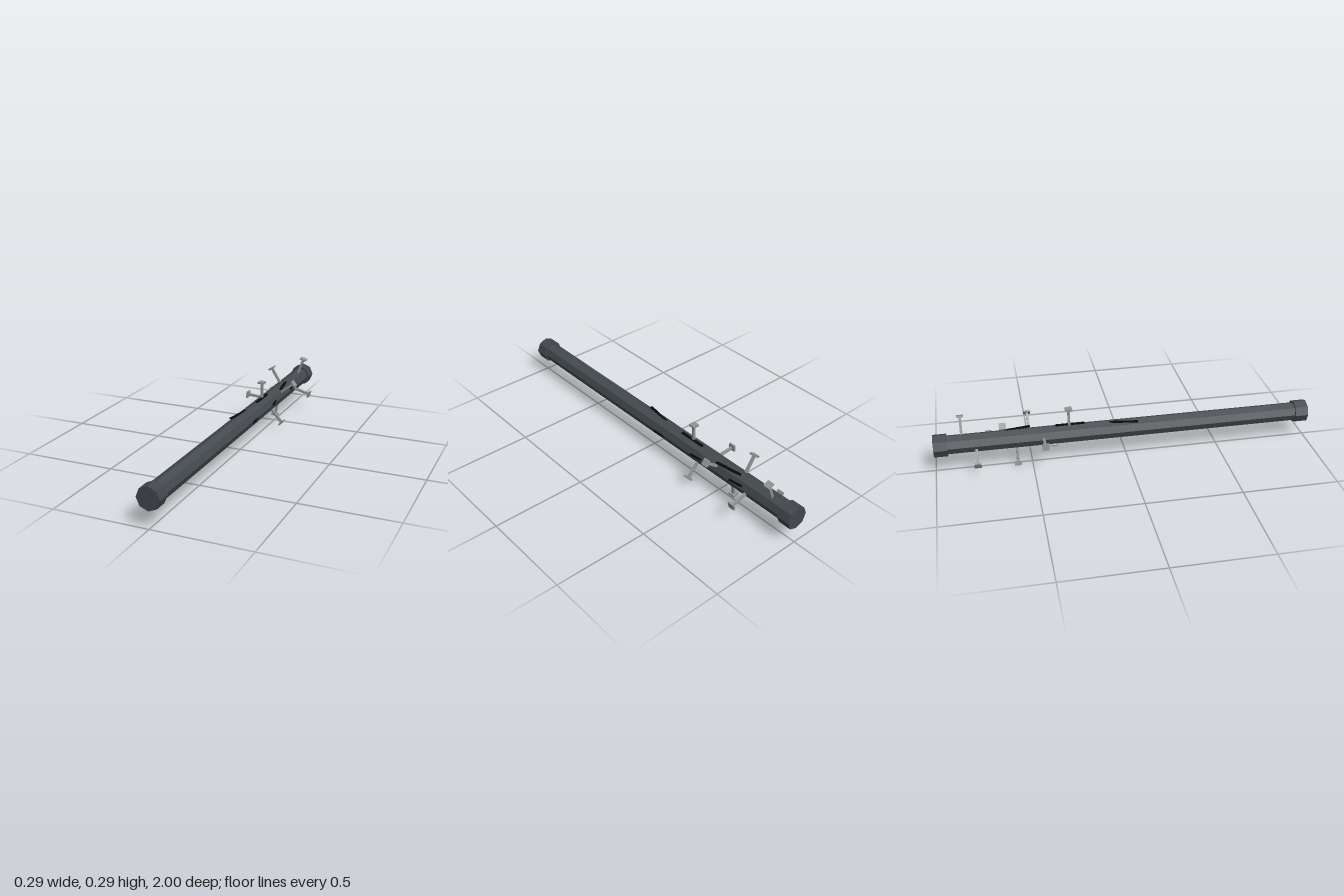
import * as THREE from 'three';

const AXIS_Y = 0.15; // height of the pipe's centre line

export function createModel() {
  const group = new THREE.Group();
  const mat = (name, color) => {
    const m = new THREE.MeshStandardMaterial({ color, flatShading: true });
    m.name = name;
    return m;
  };
  const pipeMat = mat('dark steel', 0x444a4f);
  const capMat = mat('cap steel', 0x44464d);
  const nailMat = mat('nail grey', 0x949494);
  const scratchMat = mat('scratch black', 0x0a0a0a);

  const add = (parent, name, geometry, material, x, y, z) => {
    const mesh = new THREE.Mesh(geometry, material);
    mesh.name = name;
    mesh.position.set(x, y, z);
    parent.add(mesh);
    return mesh;
  };

  // Octagonal pipe with a thicker collar at each end
  const octagon = (r, length) => new THREE.CylinderGeometry(r, r, length, 8).rotateX(Math.PI / 2);
  add(group, 'pipe', octagon(0.05, 1.96), pipeMat, 0, AXIS_Y, 0);
  for (const s of [1, -1]) {
    add(group, s > 0 ? 'frontCap' : 'backCap', octagon(0.06, 0.07), capMat, 0, AXIS_Y, s * 0.965);
  }

  // Nine nails in a golden-angle spiral towards the back end
  const shank = new THREE.BoxGeometry(0.013, 0.1, 0.013);
  const head = new THREE.BoxGeometry(0.036, 0.01, 0.036);
  for (let i = 0; i < 9; i++) {
    const nail = new THREE.Group();
    nail.name = 'nail' + (i + 1);
    nail.position.set(0, AXIS_Y, -0.3 - i * 0.0692);
    nail.rotation.z = -THREE.MathUtils.degToRad(i * 137.5);
    add(nail, 'nailShank', shank, nailMat, 0, 0.086, 0);
    add(nail, 'nailHead', head, nailMat, 0, 0.141, 0);
    group.add(nail);
  }

  // Scratches along the top: x, y, z, turn
  const topScratch = new THREE.BoxGeometry(0.014, 0.006, 0.15);
  [[-0.017, 0.196, -0.012, -0.16], [0.003, 0.201, -0.295, 0], [0.023, 0.194, -0.575, 0.16]]
    .forEach(([x, y, z, turn]) => {
      add(group, 'topScratch', topScratch, scratchMat, x, y, z).rotation.y = turn;
    });

  // Shorter scratches along the +x side: y, z
  const sideScratch = new THREE.BoxGeometry(0.006, 0.01, 0.075);
  [[0.146, -0.095], [0.157, -0.372], [0.166, -0.65]].forEach(([y, z]) => {
    add(group, 'sideScratch', sideScratch, scratchMat, 0.05, y, z).rotation.y = -0.14 * -1;
  });

  return group;
}
